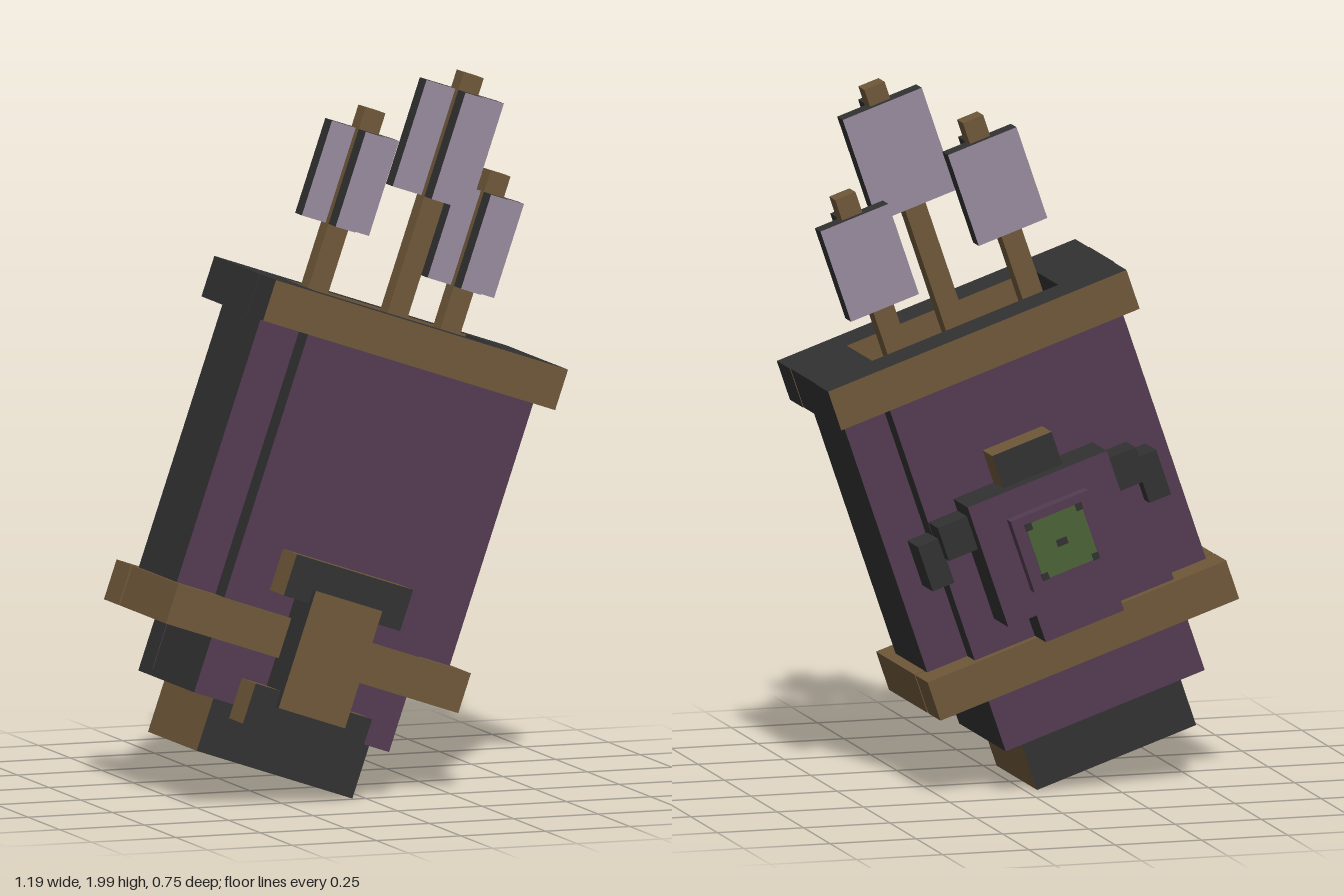
import * as THREE from 'three';

export function createModel() {
  const mat = (name, color) => {
    const m = new THREE.MeshStandardMaterial({ color });
    m.name = name;
    return m;
  };
  const brown = mat('brown leather', 0x6f5839);
  const purple = mat('purple cloth', 0x533b51);
  const dark = mat('dark trim', 0x323232);
  const lilac = mat('lilac feather', 0x988b9d);
  const green = mat('green gem', 0x4b6237);

  const model = new THREE.Group();
  model.name = 'quiver';
  const tilted = new THREE.Group();
  tilted.name = 'tiltedQuiver';
  tilted.rotation.z = -0.33;
  model.add(tilted);

  // Box from ranges, coloured per axis pair: x sides, top and bottom, front and back
  const box = (parent, name, [x0, x1], [y0, y1], [z0, z1], mx, my = mx, mz = mx) => {
    const geo = new THREE.BoxGeometry(x1 - x0, y1 - y0, z1 - z0);
    const mesh = new THREE.Mesh(geo, [mx, mx, my, my, mz, mz]);
    mesh.position.set((x0 + x1) / 2, (y0 + y1) / 2, (z0 + z1) / 2);
    mesh.name = name;
    parent.add(mesh);
    return mesh;
  };
  const part = (name) => {
    const g = new THREE.Group();
    g.name = name;
    tilted.add(g);
    return g;
  };
  const mid = -0.277; // centre line of the quiver
  const flip = ([a, b]) => [2 * mid - b, 2 * mid - a];
  const both = (range, build) => { build(range); build(flip(range)); };

  // Hollow body
  const body = part('body');
  const core = [-0.583, 0.027];
  box(body, 'frontPanel', core, [0.145, 1.19], [0.135, 0.24], dark, dark, purple);
  box(body, 'backPanel', core, [0.145, 1.19], [-0.2, -0.105], dark, dark, purple);
  box(body, 'floor', core, [0.145, 0.165], [-0.105, 0.135], dark);
  both([0.008, 0.027], (r) => box(body, 'innerWall', r, [0.145, 1.19], [-0.105, 0.135], dark));
  both([0.027, 0.15], (r) => box(body, 'sidePanel', r, [0.36, 1.19], [-0.13, 0.17], dark, dark, purple));
  both([0.004, 0.008], (r) => box(body, 'innerBand', r, [0.305, 0.421], [-0.105, 0.135], brown));

  // Bottom cap
  box(tilted, 'bottomCap', [-0.522, -0.035], [-0.008, 0.145], [-0.145, 0.239], brown, brown, dark);

  // Rim around the opening
  const rim = part('rim');
  const rimY = [1.187, 1.305];
  box(rim, 'rimFront', [-0.732, 0.182], rimY, [0.135, 0.26], dark, dark, brown);
  box(rim, 'rimBack', [-0.732, 0.182], rimY, [-0.226, -0.105], dark, dark, brown);
  both([0.008, 0.18], (r) => box(rim, 'rimSide', r, rimY, [-0.105, 0.135], dark));

  // Strap, with a narrow seam towards the back
  const strap = part('strap');
  const strapY = [0.305, 0.421];
  box(strap, 'strapFront', [-0.735, 0.18], strapY, [0.135, 0.262], brown);
  box(strap, 'strapBack', [-0.735, 0.18], strapY, [-0.226, -0.112], brown);
  both([0.027, 0.18], (r) => box(strap, 'strapSide', r, strapY, [-0.102, 0.135], brown));

  // Front buckle
  const buckle = part('buckle');
  box(buckle, 'bucklePlate', [-0.382, -0.174], [0.176, 0.517], [0.24, 0.373], dark, dark, brown);
  for (const y of [[0.478, 0.598], [0.105, 0.222]]) {
    box(buckle, 'buckleClip', [-0.46, -0.096], y, [0.24, 0.35], brown, brown, dark);
  }

  // Medallion on the back
  const medal = part('medallion');
  box(medal, 'medallionBase', [-0.489, -0.063], [0.512, 0.875], [-0.335, -0.2], dark, dark, purple);
  box(medal, 'medallionFrame', [-0.395, -0.157], [0.585, 0.801], [-0.373, -0.335], purple);
  box(medal, 'topTab', [-0.368, -0.186], [0.875, 0.973], [-0.29, -0.2], brown, brown, dark);
  box(medal, 'bottomTab', [-0.397, -0.157], [0.422, 0.512], [-0.305, -0.2], dark, dark, purple);
  both([-0.063, 0.026], (r) => box(medal, 'sideTab', r, [0.74, 0.84], [-0.29, -0.2], dark));
  both([0.022, 0.088], (r) => box(medal, 'sideHook', r, [0.665, 0.8], [-0.25, -0.15], dark));

  // Gem with dark corners and a dark centre
  const gemY = 0.693;
  box(medal, 'gem', [mid - 0.085, mid + 0.085], [gemY - 0.083, gemY + 0.083], [-0.376, -0.37], green);
  for (const sx of [-1, 1]) for (const sy of [-1, 1]) {
    const x = mid + sx * 0.077, y = gemY + sy * 0.075;
    box(medal, 'gemCorner', [x - 0.01, x + 0.01], [y - 0.01, y + 0.01], [-0.378, -0.37], dark);
  }
  box(medal, 'gemCentre', [mid - 0.016, mid + 0.016], [gemY - 0.01, gemY + 0.01], [-0.378, -0.37], dark);

  // Arrows: shaft, wide rear feather and narrow front feather
  const arrows = [
    { x: -0.494, half: 0.105, top: 1.828, feather: [1.489, 1.765], z: -0.063 },
    { x: -0.276, half: 0.121, top: 2.003, feather: [1.642, 1.952], z: 0.012 },
    { x: -0.08, half: 0.104, top: 1.762, feather: [1.426, 1.7], z: -0.063 },
  ];
  for (const { x, half, top, feather, z } of arrows) {
    const arrow = part('arrow');
    const w = 0.031;
    box(arrow, 'shaft', [x - w, x + w], [0.165, top], [z, z + 0.057], brown);
    box(arrow, 'wideFeather', [x - half, x + half], feather, [z - 0.02, z + 0.033], dark, dark, lilac);
    box(arrow, 'narrowFeather', [x - w, x + w], feather, [z + 0.057, z + 0.113], dark, dark, lilac);
  }
  return model;
}
